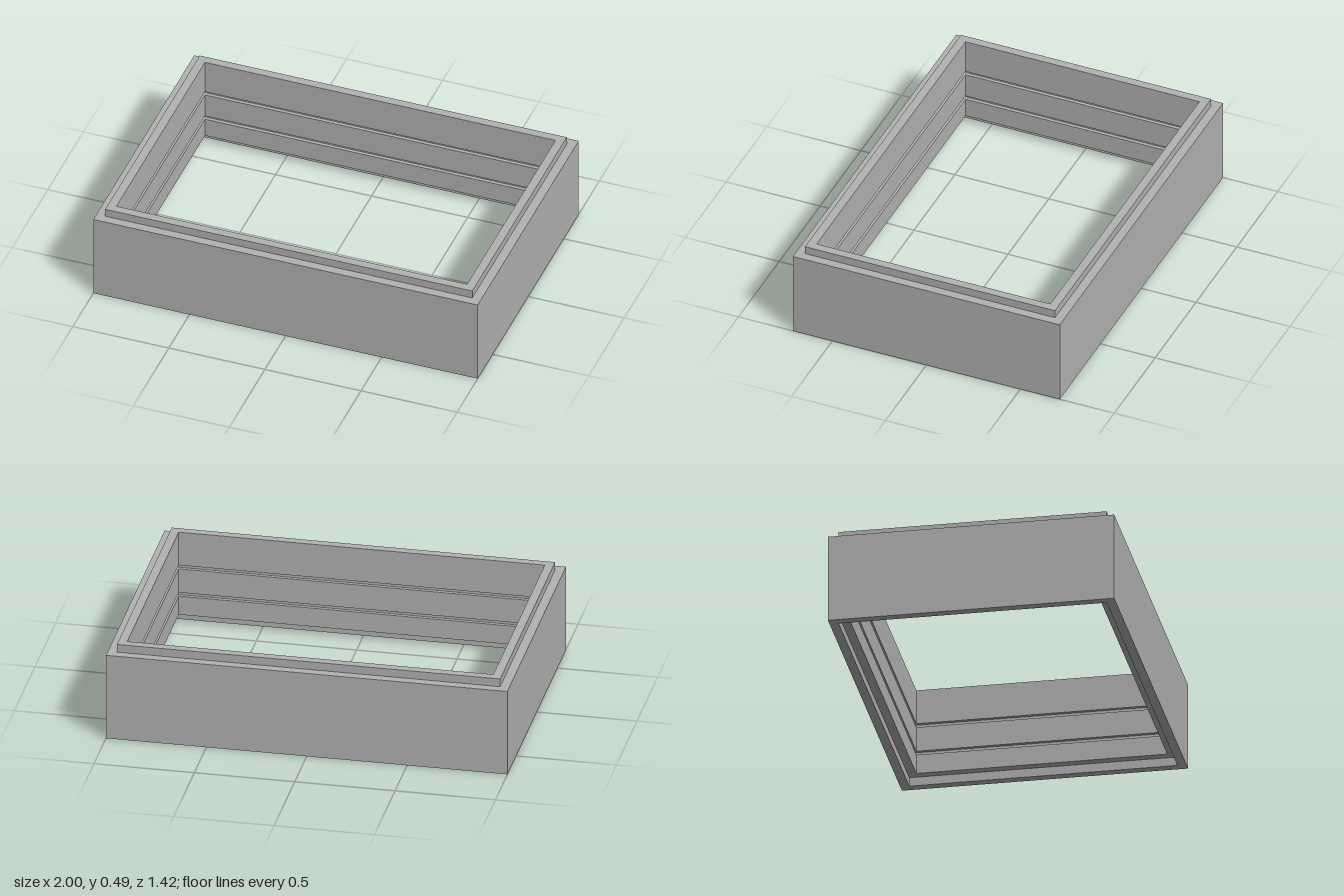
import * as THREE from 'three';

const HALF_X = 1, HALF_Z = 0.71;
const WALL = 0.088;   // full wall thickness
const STEP = 0.045;   // inset of the lip and of the matching rebate
const BODY_TOP = 0.45, LIP_TOP = 0.492;
const GROOVE_DEPTH = 0.018, GROOVE_HEIGHT = 0.02;

// Sweeps a profile of [inset, height] points around the rectangular outline.
function sweepFrame(profile) {
  const corners = [[1, 1], [1, -1], [-1, -1], [-1, 1]];
  const at = (k, [inset, y]) => {
    const [sx, sz] = corners[k % 4];
    return [sx * (HALF_X - inset), y, sz * (HALF_Z - inset)];
  };
  const pos = [];
  for (let j = 0; j < profile.length - 1; j++) {
    for (let k = 0; k < 4; k++) {
      const a = at(k, profile[j]), b = at(k + 1, profile[j]);
      const c = at(k + 1, profile[j + 1]), d = at(k, profile[j + 1]);
      pos.push(...a, ...b, ...c, ...a, ...c, ...d);
    }
  }
  const geo = new THREE.BufferGeometry();
  geo.setAttribute('position', new THREE.Float32BufferAttribute(pos, 3));
  geo.computeVertexNormals();
  return geo;
}

export function createModel() {
  const group = new THREE.Group();
  group.name = 'stackingFrame';
  const grey = new THREE.MeshStandardMaterial({ color: 0xb2b2b2 });
  grey.name = 'grey';

  const add = (name, profile) => {
    const mesh = new THREE.Mesh(sweepFrame(profile), grey);
    mesh.name = name;
    group.add(mesh);
  };

  // Outer wall with the ledge around the lip
  add('outerWall', [[0, 0], [0, BODY_TOP], [STEP, BODY_TOP]]);

  // Raised locating lip
  add('topLip', [[STEP, BODY_TOP], [STEP, LIP_TOP], [WALL, LIP_TOP]]);

  // Inner wall, top to bottom, cut by two narrow grooves
  const inner = [[WALL, LIP_TOP]];
  for (const y of [0.313, 0.165]) {
    const deep = WALL - GROOVE_DEPTH;
    inner.push([WALL, y], [deep, y], [deep, y - GROOVE_HEIGHT], [WALL, y - GROOVE_HEIGHT]);
  }
  inner.push([WALL, STEP]);
  add('innerWall', inner);

  // Rebate underneath that receives the lip of a frame below
  add('bottomRebate', [[WALL, STEP], [STEP, STEP], [STEP, 0], [0, 0]]);

  return group;
}
